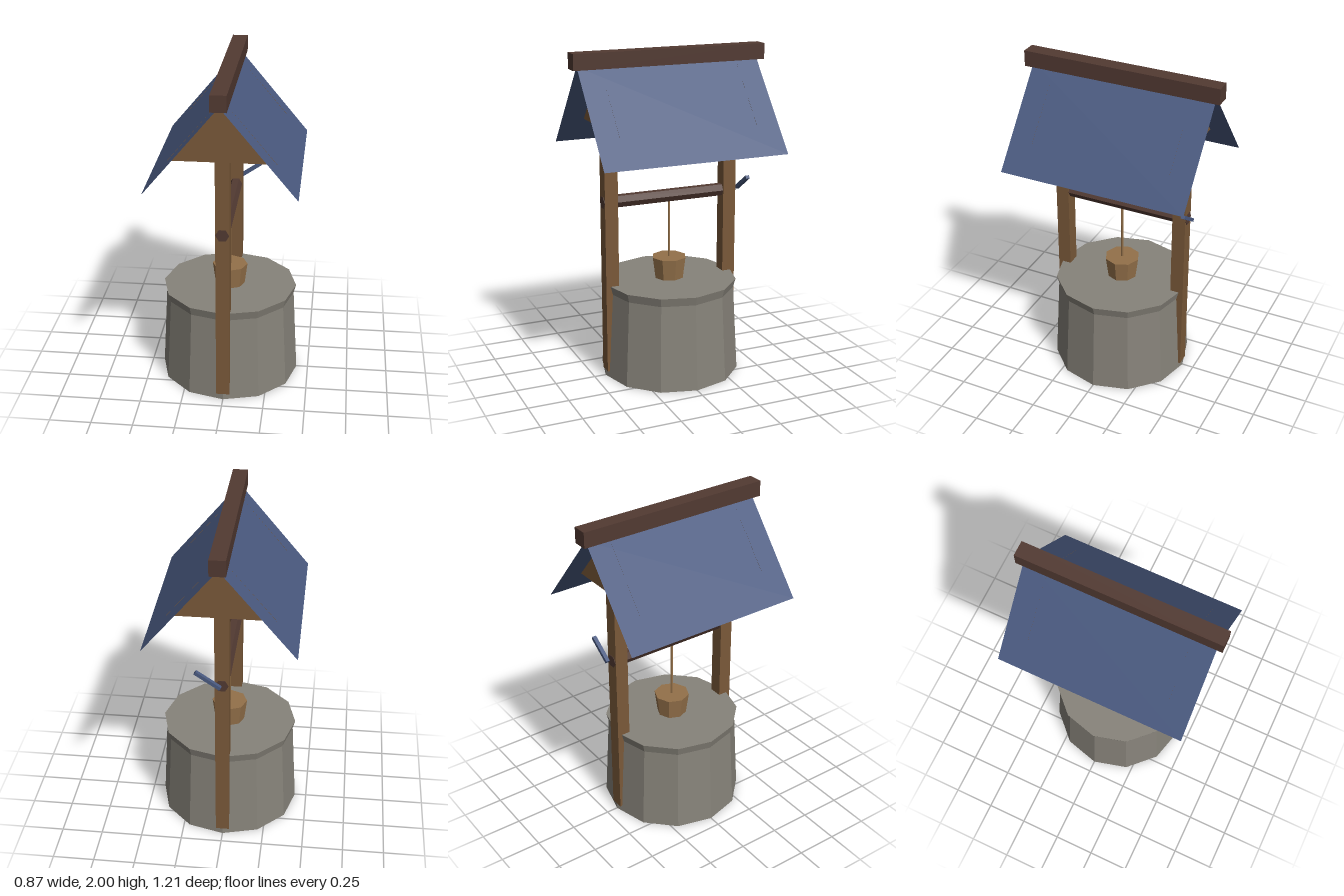
import * as THREE from 'three';

const mat = (name, color, side = THREE.FrontSide) => {
  const m = new THREE.MeshStandardMaterial({ color, side });
  m.name = name;
  return m;
};

// Split shared vertices so that every face is flat
function faceted(geometry) {
  const g = geometry.index ? geometry.toNonIndexed() : geometry;
  g.computeVertexNormals();
  return g;
}

export function createModel() {
  const stone = mat('stone', 0x87837a, THREE.DoubleSide);
  const wood = mat('wood', 0x7a5939, THREE.DoubleSide);
  const darkWood = mat('darkWood', 0x523a32);
  const blue = mat('blue', 0x4a5a80, THREE.DoubleSide);
  const paleWood = mat('paleWood', 0x94714a);

  const model = new THREE.Group();
  model.name = 'well';
  const add = (name, geometry, material, x = 0, y = 0, z = 0) => {
    const mesh = new THREE.Mesh(geometry, material);
    mesh.name = name;
    mesh.position.set(x, y, z);
    model.add(mesh);
    return mesh;
  };

  // Twelve-sided wall with a flared rim, open below
  const rimY = 0.588;
  const profile = [[0.428, 0], [0.398, 0.535], [0.412, rimY]];
  add('wall', faceted(new THREE.LatheGeometry(profile.map(([r, y]) => new THREE.Vector2(r, y)), 12)), stone);
  add('lid', new THREE.CircleGeometry(0.412, 12).rotateX(-Math.PI / 2), stone, 0, rimY, 0);
  add('water', new THREE.CircleGeometry(0.395, 12).rotateX(-Math.PI / 2), blue, 0, 0.42, 0);

  // Posts and gables, front and back
  const eaveX = 0.433, eaveY = 1.402, apexY = 1.922;
  const postTop = 1.556, postBottom = 0.038, gableX = 0.307;
  const gable = new THREE.Shape([
    new THREE.Vector2(-gableX, postTop),
    new THREE.Vector2(gableX, postTop),
    new THREE.Vector2(0, apexY),
  ]);
  for (const [side, s] of [['front', 1], ['back', -1]]) {
    add(side + 'Post', new THREE.BoxGeometry(0.082, postTop - postBottom, 0.082), wood,
      0, (postTop + postBottom) / 2, s * 0.387);
    const g = new THREE.ShapeGeometry(gable);
    if (s < 0) g.rotateY(Math.PI);
    add(side + 'Gable', g, wood, 0, 0, s * 0.429);
  }

  // Thin roof slopes
  const slope = Math.hypot(eaveX, apexY - eaveY);
  const pitch = Math.atan2(apexY - eaveY, eaveX);
  for (const [side, s] of [['left', 1], ['right', -1]]) {
    const g = new THREE.PlaneGeometry(slope, 1.14).rotateX(-Math.PI / 2).rotateZ(-s * pitch);
    add(side + 'Roof', g, blue, s * eaveX / 2, (eaveY + apexY) / 2, 0);
  }
  add('ridgeBeam', new THREE.BoxGeometry(0.092, 0.095, 1.21), darkWood, 0, 1.9525, 0);

  // Six-sided axle through both posts, with its crank at the back
  const axle = new THREE.CylinderGeometry(0.04, 0.04, 0.862, 6, 1, false, Math.PI / 6).rotateX(Math.PI / 2);
  add('axle', faceted(axle), darkWood, 0, 1.109, 0);
  const crank = add('crank', new THREE.BoxGeometry(0.175, 0.021, 0.024), blue, 0.077, 1.16, -0.455);
  crank.rotation.z = 0.6;

  // Bucket on its rope
  add('rope', faceted(new THREE.CylinderGeometry(0.008, 0.008, 0.38, 6)), paleWood, 0, 0.9, 0);
  add('bucket', faceted(new THREE.CylinderGeometry(0.108, 0.087, 0.16, 8)), paleWood, 0, 0.64, 0);

  return model;
}
